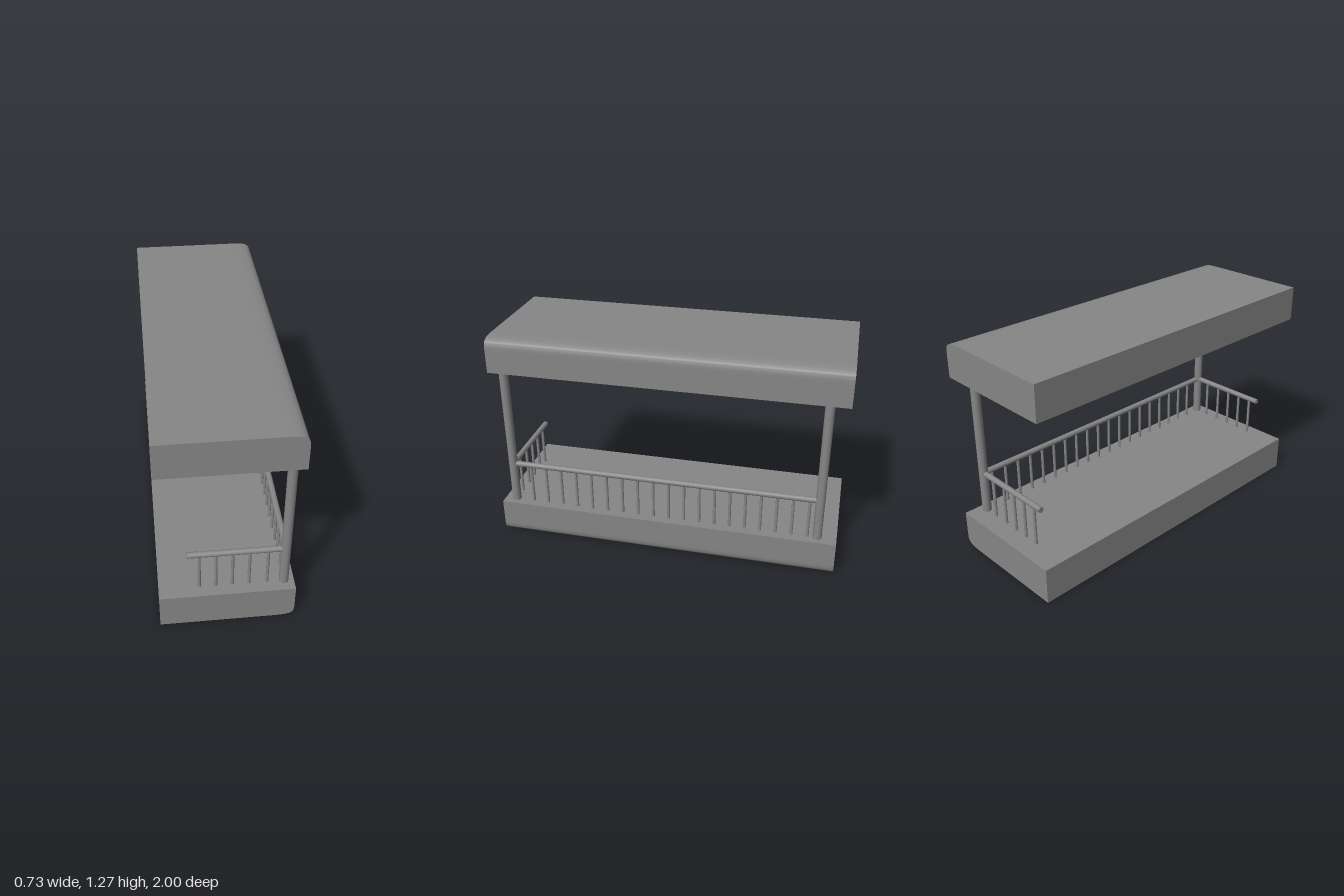
import * as THREE from 'three';
import { toCreasedNormals } from 'three/addons/utils/BufferGeometryUtils.js';

const material = new THREE.MeshStandardMaterial({ color: 0x868686 });

export function createModel() {
  const model = new THREE.Group();
  model.name = 'balcony';

  const add = (parent, name, geometry) => {
    const mesh = new THREE.Mesh(geometry, material);
    mesh.name = name;
    parent.add(mesh);
    return mesh;
  };

  // Round bar between two points
  const bar = (parent, name, from, to, radius, sides = 20) => {
    const a = new THREE.Vector3(...from), b = new THREE.Vector3(...to);
    const dir = b.clone().sub(a);
    const mesh = add(parent, name, new THREE.CylinderGeometry(radius, radius, dir.length(), sides));
    mesh.position.copy(a).add(b).multiplyScalar(0.5);
    mesh.quaternion.setFromUnitVectors(new THREE.Vector3(0, 1, 0), dir.normalize());
  };

  // Slab with one softly rounded long edge, at its outer y
  const slab = (name, outerY, innerY) => {
    const up = Math.sign(innerY - outerY), w = 0.367;
    const s = new THREE.Shape();
    s.moveTo(-w, outerY);
    s.lineTo(0.25, outerY);
    s.bezierCurveTo(0.36, outerY, w, outerY + up * 0.015, w, outerY + up * 0.075);
    s.lineTo(w, innerY);
    s.lineTo(-w, innerY);
    s.closePath();
    const g = new THREE.ExtrudeGeometry(s, { depth: 2, bevelEnabled: false, curveSegments: 16 });
    g.translate(0, 0, -1);
    add(model, name, toCreasedNormals(g, 0.6));
  };
  slab('floorSlab', 0, 0.21);
  slab('roofSlab', 1.268, 1.064);

  const floorY = 0.21, railY = 0.457, postX = 0.311, railR = 0.0165, balusterR = 0.0085;
  const postZ = [0.93, -0.89];

  // Corner posts and the short side railings that start at them
  postZ.forEach((z, i) => {
    const end = i === 0 ? 'front' : 'back';
    bar(model, `${end}Post`, [postX, floorY - 0.01, z], [postX, 1.075, z], 0.026, 32);
    const railing = new THREE.Group();
    railing.name = `${end}SideRailing`;
    model.add(railing);
    bar(railing, 'handrail', [-0.21, railY, z], [postX, railY, z], railR);
    for (const x of [-0.147, -0.058, 0.031, 0.121, 0.219])
      bar(railing, 'baluster', [x, floorY - 0.005, z], [x, railY, z], balusterR, 12);
  });

  // Long railing between the posts, its balusters drifting slightly back mid-span
  const longRailing = new THREE.Group();
  longRailing.name = 'longRailing';
  model.add(longRailing);
  bar(longRailing, 'handrail', [postX, railY, postZ[0]], [postX, railY, postZ[1]], railR);
  const count = 19;
  for (let i = 0; i < count; i++) {
    const t = i / (count - 1);
    const z = THREE.MathUtils.lerp(0.818, -0.834, t) - 0.016 * Math.sin(Math.PI * t) ** 2;
    bar(longRailing, 'baluster', [postX, floorY - 0.005, z], [postX, railY, z], balusterR, 12);
  }

  return model;
}
